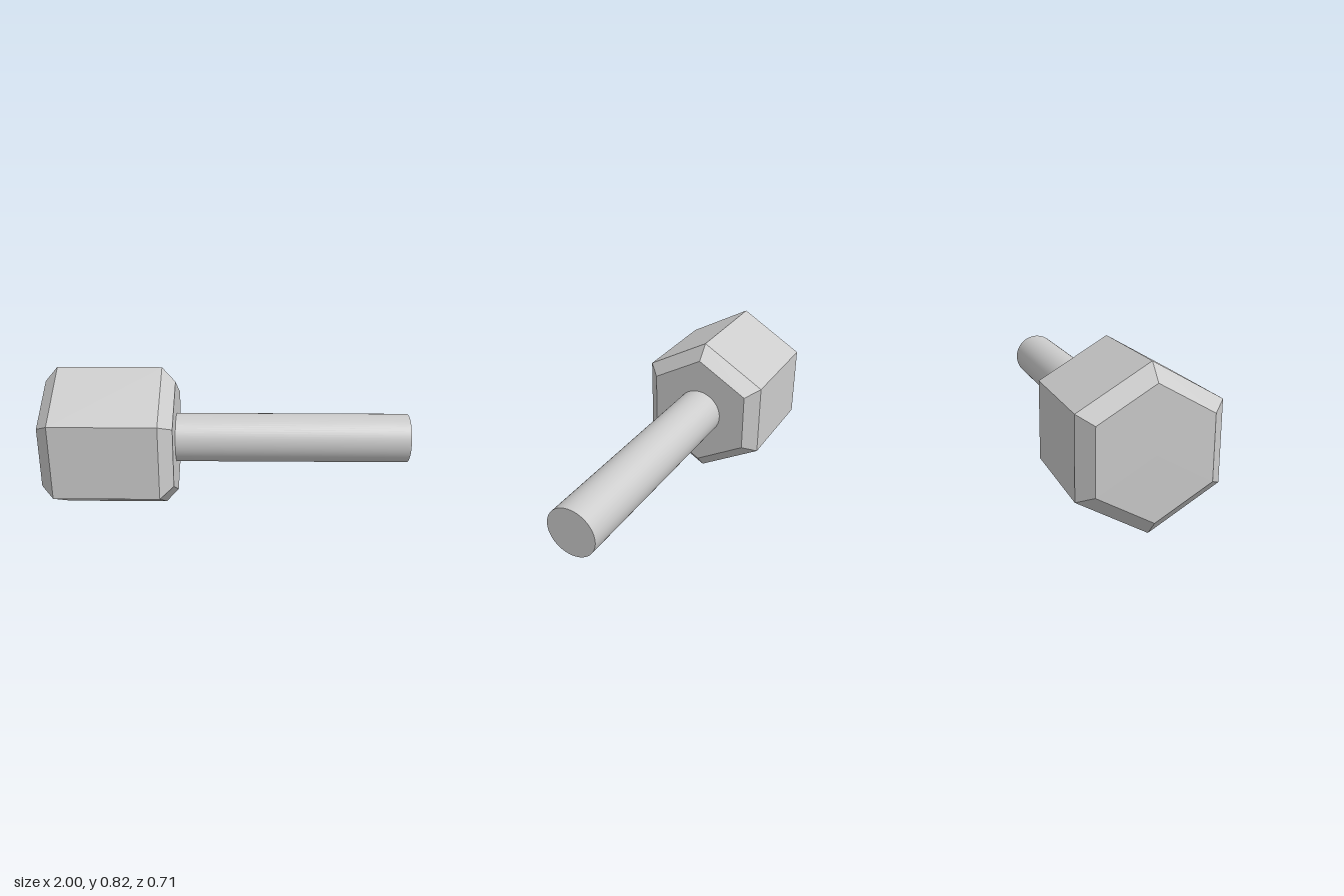
import * as THREE from 'three';

const AXIS_Y = 0.413;

// Lays a shape built along y on its side, so that y points to +x
function addAlongX(group, name, geometry, x, flatShading) {
  const material = new THREE.MeshStandardMaterial({ color: 0xcccccc, flatShading });
  const mesh = new THREE.Mesh(geometry, material);
  mesh.name = name;
  mesh.rotation.z = -Math.PI / 2;
  mesh.position.set(x, AXIS_Y, 0);
  group.add(mesh);
}

export function createModel() {
  const group = new THREE.Group();
  group.name = 'hexMallet';

  // Hexagonal head with chamfered ends, a corner pointing up
  const radius = 0.412, endRadius = 0.33, half = 0.355, chamfer = 0.071;
  const profile = [
    [0, -half], [endRadius, -half], [radius, -half + chamfer],
    [radius, half - chamfer], [endRadius, half], [0, half],
  ].map(([r, y]) => new THREE.Vector2(r, y));
  addAlongX(group, 'head', new THREE.LatheGeometry(profile, 6, Math.PI / 6), -0.645, true);

  // Round shaft from the head to the right-hand end
  const start = -0.29, length = 1 - start;
  addAlongX(group, 'shaft',
    new THREE.CylinderGeometry(0.136, 0.136, length, 64), start + length / 2, false);

  return group;
}
